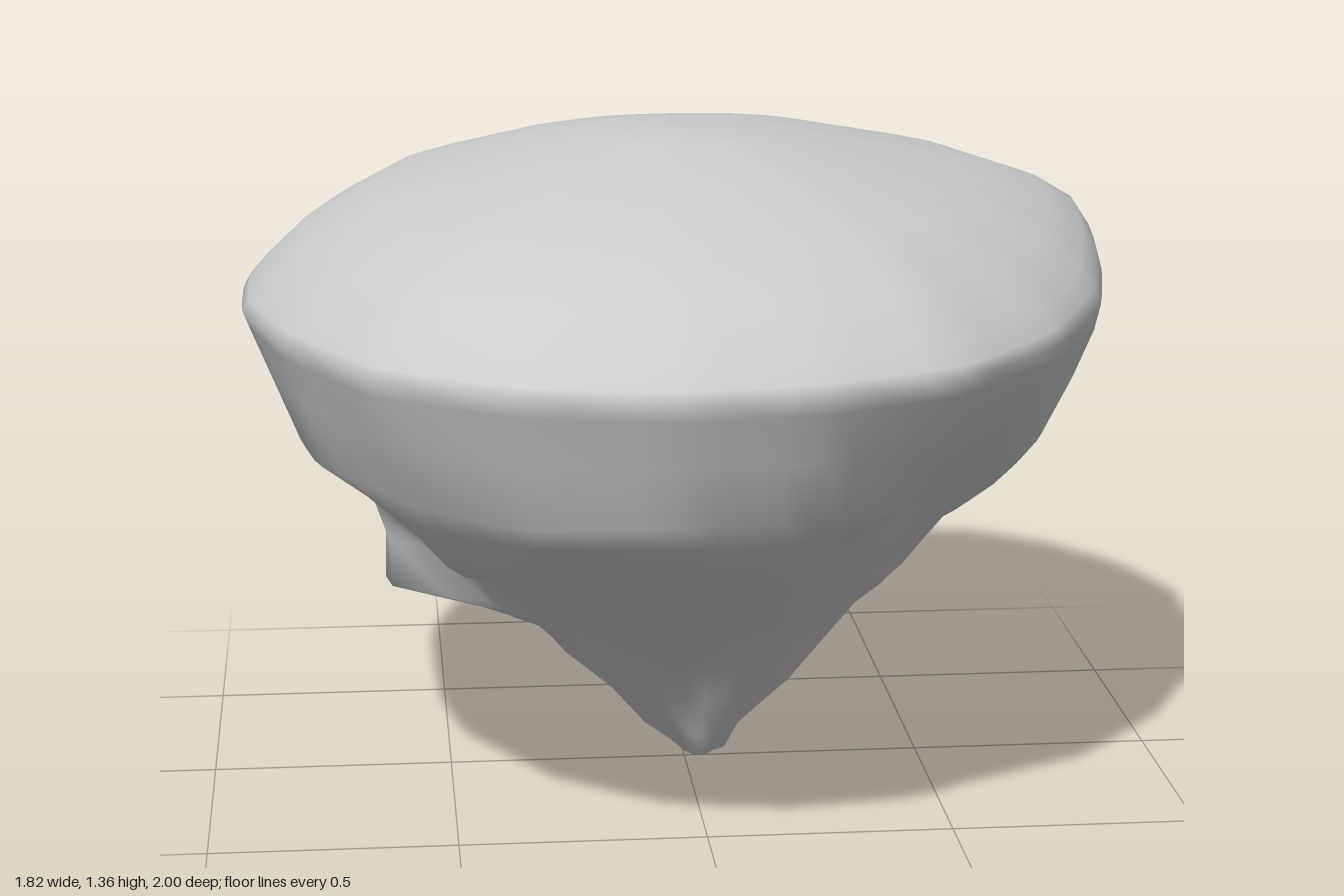
import * as THREE from 'three';

const SEG = 60;

// Rim outline seen from above, as x, z pairs
const RIM = [
  [0.91, -0.28], [0.88, 0], [0.82, 0.28], [0.68, 0.57], [0.45, 0.84], [0.18, 0.96], [-0.1, 1],
  [-0.4, 0.93], [-0.66, 0.74], [-0.83, 0.41], [-0.91, 0.1], [-0.91, -0.2], [-0.8, -0.58],
  [-0.62, -0.81], [-0.29, -0.97], [0, -1], [0.3, -1], [0.53, -0.92], [0.69, -0.78], [0.82, -0.57],
];

// Dome: share of the rim radius, height, extra height towards +x and towards -z
const DOME = [
  [0, 1.36, 0, 0], [0.2, 1.358, 0, 0], [0.45, 1.305, 0, 0.015], [0.7, 1.238, 0.02, 0.015],
  [0.86, 1.155, 0.05, 0.015], [0.95, 1.075, 0.08, 0.01], [0.985, 1.038, 0.07, 0], [1, 1.015, 0.04, 0],
];

// Rock cross-sections: height, then share of the rim radius towards
// +x, +x+z, +z, -x+z, -x, -x-z, -z, +x-z
const ROCK = [
  [0.98, 0.99, 0.98, 0.985, 0.985, 0.985, 0.98, 0.98, 0.985],
  [0.88, 0.95, 0.92, 0.95, 0.95, 0.94, 0.94, 0.93, 0.94],
  [0.75, 0.88, 0.80, 0.90, 0.90, 0.88, 0.87, 0.87, 0.87],
  [0.70, 0.85, 0.71, 0.86, 0.86, 0.80, 0.79, 0.78, 0.80],
  [0.65, 0.81, 0.65, 0.80, 0.80, 0.71, 0.73, 0.72, 0.73],
  [0.58, 0.73, 0.58, 0.70, 0.72, 0.62, 0.66, 0.69, 0.67],
  [0.53, 0.63, 0.54, 0.61, 0.61, 0.56, 0.60, 0.67, 0.63],
  [0.43, 0.53, 0.45, 0.45, 0.50, 0.49, 0.47, 0.60, 0.52],
  [0.40, 0.49, 0.42, 0.41, 0.47, 0.45, 0.43, 0.56, 0.46],
  [0.36, 0.42, 0.38, 0.35, 0.40, 0.37, 0.37, 0.50, 0.40],
  [0.26, 0.34, 0.28, 0.22, 0.29, 0.28, 0.28, 0.35, 0.32],
  [0.17, 0.26, 0.20, 0.14, 0.18, 0.18, 0.20, 0.27, 0.25],
  [0.08, 0.12, 0.11, 0.09, 0.09, 0.11, 0.12, 0.13, 0.12],
  [0.02, 0.07, 0.05, 0.06, 0.04, 0.03, 0.04, 0.05, 0.05],
];

// Low tension keeps the rim nearly polygonal
const curve = new THREE.CatmullRomCurve3(
  RIM.map(([x, z]) => new THREE.Vector3(x, 0, z)), true, 'catmullrom', 0.15);
const outline = Array.from({ length: SEG }, (_, i) => {
  const { x, z } = curve.getPoint(i / SEG);
  return { x, z, angle: (Math.atan2(z, x) + Math.PI * 2) % (Math.PI * 2) };
});

// Smooth blend between the eight directions of one cross-section
function share(row, angle) {
  const t = (angle / (Math.PI * 2)) * 8;
  const k = Math.floor(t);
  const f = t - k;
  return THREE.MathUtils.lerp(row[1 + (k % 8)], row[1 + ((k + 1) % 8)], f * f * (3 - 2 * f));
}

// Hanging knob on the -x side, reaching down to y = 0.42
function knob(y, angle) {
  const reach = y > 0.6 || y < 0.39 ? 0 : y > 0.55 ? 0.08 : y > 0.5 ? 0.14 : y > 0.41 ? 0.21 : 0.1;
  return reach * Math.exp(-(((angle - 3.0) / 0.23) ** 4));
}

// Skin a stack of closed rings running from the top centre down to the tip
function skin(rings) {
  const index = [];
  for (let j = 0; j < rings.length - 1; j++) {
    for (let i = 0; i < SEG; i++) {
      const n = (i + 1) % SEG;
      const a = j * SEG + i, b = j * SEG + n, c = a + SEG, d = b + SEG;
      index.push(a, b, c, b, d, c);
    }
  }
  const geometry = new THREE.BufferGeometry();
  geometry.setAttribute('position', new THREE.Float32BufferAttribute(rings.flat(2), 3));
  geometry.setIndex(index);
  geometry.computeVertexNormals();
  return geometry;
}

export function createModel() {
  const group = new THREE.Group();
  group.name = 'floatingIsland';

  // Gently domed top
  const dome = DOME.map(([s, y, liftX, liftBack]) => outline.map(({ x, z, angle }) => {
    const east = Math.max(0, Math.cos(angle + 0.3)) ** 4;
    const back = Math.max(0, -Math.sin(angle)) ** 2;
    return [x * s, y + liftX * east + liftBack * back, z * s];
  }));

  // Craggy underside tapering to a point
  const rock = ROCK.map((row, j) => outline.map(({ x, z, angle }) => {
    const y = row[0];
    const rough = j < 2 ? 0 : 0.01 * Math.min(1, y * 2);
    const s = share(row, angle) + knob(y, angle)
      + rough * (Math.sin(5 * angle + y * 17) + 0.7 * Math.sin(9 * angle - y * 21));
    const shift = 0.03 * Math.max(0, 1 - y / 0.15);
    return [x * s + shift, y + rough * Math.sin(7 * angle + y * 12), z * s];
  }));
  const tip = outline.map(() => [0.04, 0, -0.04]);

  // One continuous skin keeps the rim softly shaded
  const island = new THREE.Mesh(
    skin([...dome, ...rock, tip]),
    new THREE.MeshStandardMaterial({ color: 0xcccccc }));
  island.name = 'islandRock';
  group.add(island);
  return group;
}
